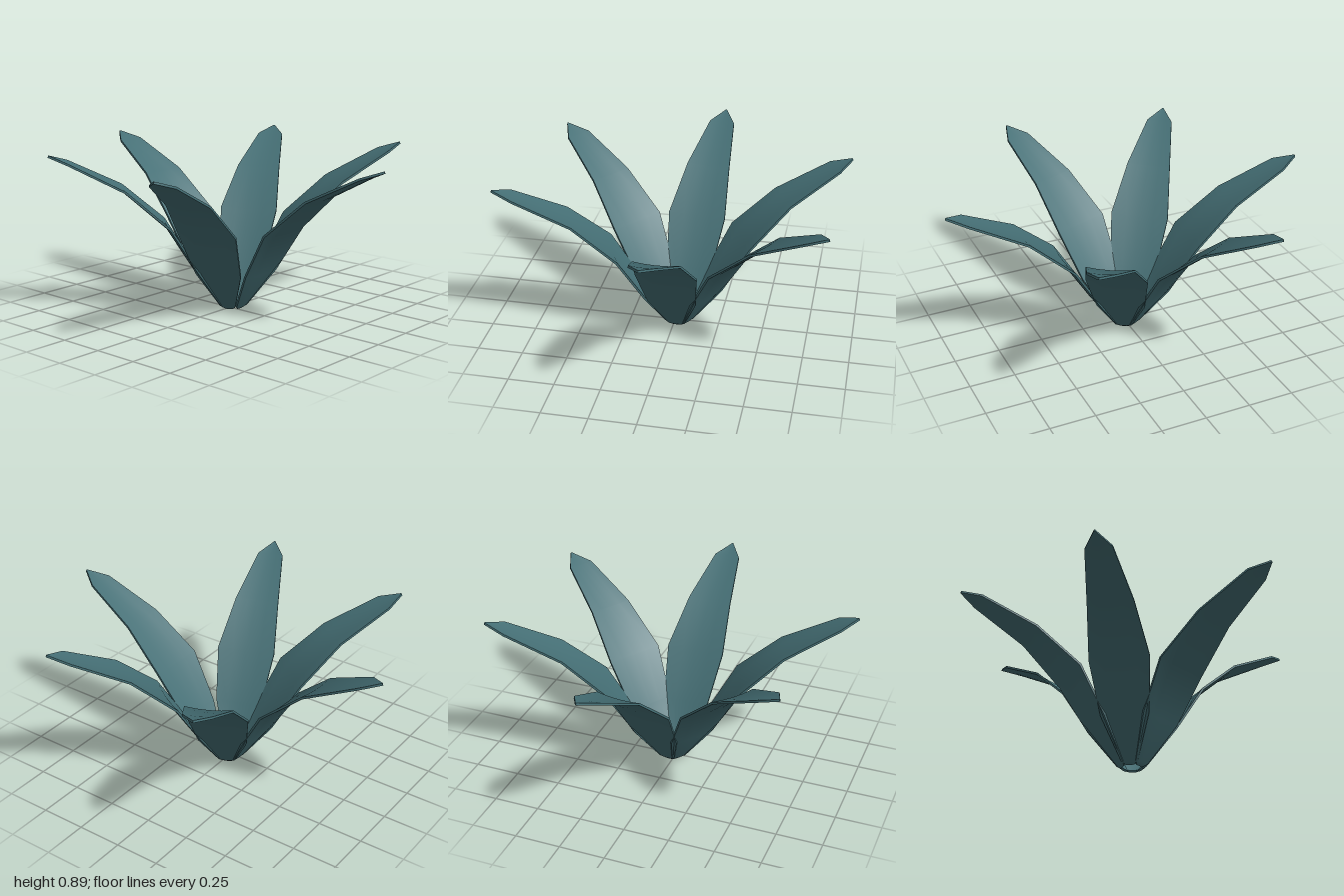
import * as THREE from 'three';
import { mergeGeometries } from 'three/addons/utils/BufferGeometryUtils.js';

const THICKNESS = 0.012;
const CUP = 0.012;

// Leaf cross-sections from base to tip: distance out, height, half width
const SECTIONS = [
  [0.052, 0.005, 0.022],
  [0.068, 0.02, 0.045],
  [0.21, 0.23, 0.132],
  [0.365, 0.482, 0.165],
  [0.6, 0.69, 0.125],
  [0.895, 0.842, 0.073],
  [0.995, 0.882, 0.003],
];

// Smooth surface through rows of points
function surface(rows) {
  const columns = rows[0].length;
  const index = [];
  for (let i = 0; i < rows.length - 1; i++) {
    for (let j = 0; j < columns - 1; j++) {
      const a = i * columns + j;
      const b = a + columns;
      index.push(a, b, b + 1, a, b + 1, a + 1);
    }
  }
  const geometry = new THREE.BufferGeometry().setFromPoints(rows.flat());
  geometry.setIndex(index);
  geometry.computeVertexNormals();
  return geometry;
}

// One face of the blade, shifted along the blade's normal
function bladeRows(shift) {
  return SECTIONS.map(([z, y, half], i) => {
    const before = SECTIONS[Math.max(i - 1, 0)];
    const after = SECTIONS[Math.min(i + 1, SECTIONS.length - 1)];
    const normal = new THREE.Vector3(0, after[0] - before[0], before[1] - after[1]).normalize();
    return [-1, -0.5, 0, 0.5, 1].map((u) => {
      const cup = CUP * (u * u - 0.5) * (half / 0.165);
      return new THREE.Vector3(u * half, y, z).addScaledVector(normal, shift + cup);
    });
  });
}

// Outline of a face: up the left edge, down the right, back across the base
function outline(rows) {
  const left = rows.map((row) => row[0]);
  const right = rows.map((row) => row[row.length - 1]).reverse();
  const base = rows[0].slice(0, -1).reverse();
  return [...left, ...right, ...base];
}

function leafGeometry() {
  const top = bladeRows(THICKNESS / 2);
  const bottom = bladeRows(-THICKNESS / 2);
  const topEdge = outline(top);
  const rim = outline(bottom).map((point, i) => [point, topEdge[i]]);
  return mergeGeometries([
    surface(top),
    surface(bottom.map((row) => [...row].reverse())),
    surface(rim),
  ]);
}

export function createModel() {
  const plant = new THREE.Group();
  plant.name = 'leafRosette';
  const material = new THREE.MeshStandardMaterial({ color: 0x456f75 });
  const geometry = leafGeometry();

  // Six leaves fanned slightly unevenly around the centre
  [0, 58.2, 116, 174.2, 232, 289.3].forEach((degrees, i) => {
    const leaf = new THREE.Mesh(geometry, material);
    leaf.name = `leaf${i + 1}`;
    leaf.position.x = 0.02;
    leaf.rotation.y = THREE.MathUtils.degToRad(degrees);
    plant.add(leaf);
  });
  return plant;
}
